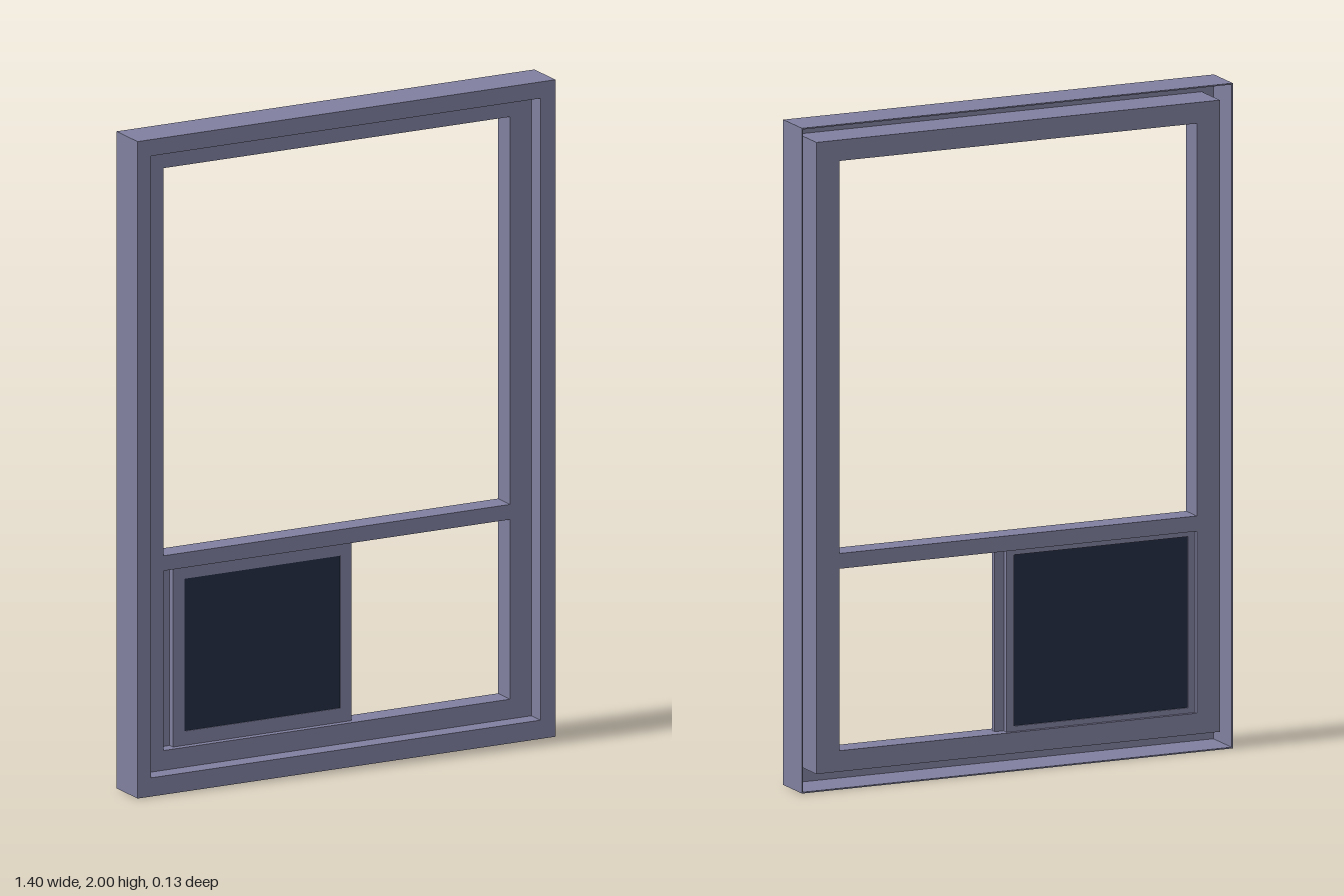
import * as THREE from 'three';

const frameMat = new THREE.MeshStandardMaterial({ color: 0x8080a0 });
frameMat.name = 'greyLilacFrame';
const paneMat = new THREE.MeshStandardMaterial({ color: 0x222d42 });
paneMat.name = 'darkNavyPane';

// Rectangle given as [x0, y0, x1, y1]
function trace(path, [x0, y0, x1, y1]) {
  path.moveTo(x0, y0);
  path.lineTo(x1, y0);
  path.lineTo(x1, y1);
  path.lineTo(x0, y1);
  path.closePath();
  return path;
}

// Flat slab with rectangular openings, from z0 (back) to z1 (front)
function slab(name, outer, holes, z0, z1, material) {
  const shape = trace(new THREE.Shape(), outer);
  shape.holes = holes.map((h) => trace(new THREE.Path(), h));
  const geometry = new THREE.ExtrudeGeometry(shape, { depth: z1 - z0, bevelEnabled: false });
  geometry.translate(0, 0, z0);
  const mesh = new THREE.Mesh(geometry, material);
  mesh.name = name;
  return mesh;
}

export function createModel() {
  const group = new THREE.Group();
  group.name = 'windowFrame';

  const outer = [-0.7, 0, 0.7, 2];
  const rebate = [-0.655, 0.057, 0.65, 1.95];
  const back = -0.063, front = 0.065, step = 0.01;

  // Outer casing: thin outside wall, front face and inner lip, open at the back
  group.add(slab('outerWall', outer, [[-0.696, 0.004, 0.696, 1.996]], back, front - 0.004, frameMat));
  group.add(slab('frontFace', outer, [rebate], front - 0.004, front, frameMat));
  const [x0, y0, x1, y1] = rebate;
  group.add(slab('innerLip', [x0 - 0.003, y0 - 0.003, x1 + 0.003, y1 + 0.003], [rebate],
    step, front - 0.004, frameMat));

  // Inner frame with the transom between the upper and lower openings
  const upper = [-0.583, 0.71, 0.578, 1.89];
  const lower = [-0.583, 0.117, 0.578, 0.664];
  group.add(slab('innerFrameAndTransom', [x0 - 0.003, y0 - 0.003, x1 + 0.003, y1 + 0.003],
    [upper, lower], back, step, frameMat));

  // Front sliding sash and its pane
  const sash = new THREE.Group();
  sash.name = 'frontSash';
  const opening = [-0.502, 0.16, 0.021, 0.624];
  sash.add(slab('sashFrame', [-0.54, 0.117, 0.058, 0.664], [opening], -0.03, -0.01, frameMat));
  sash.add(slab('sashPane', opening, [], -0.02, -0.012, paneMat));
  group.add(sash);

  // Rear sash, slimmer and shifted towards the jamb
  const rear = new THREE.Group();
  rear.name = 'rearSash';
  const rearOpening = [-0.56, 0.133, 0.005, 0.648];
  rear.add(slab('rearSashFrame', [-0.583, 0.117, 0.03, 0.664], [rearOpening], -0.052, -0.034, frameMat));
  rear.add(slab('rearPane', rearOpening, [], -0.048, -0.041, paneMat));
  // Jamb strip closing the gap beside the front sash
  rear.add(slab('jambStrip', [-0.583, 0.117, -0.53, 0.664], [], -0.036, -0.03, frameMat));
  group.add(rear);

  return group;
}
